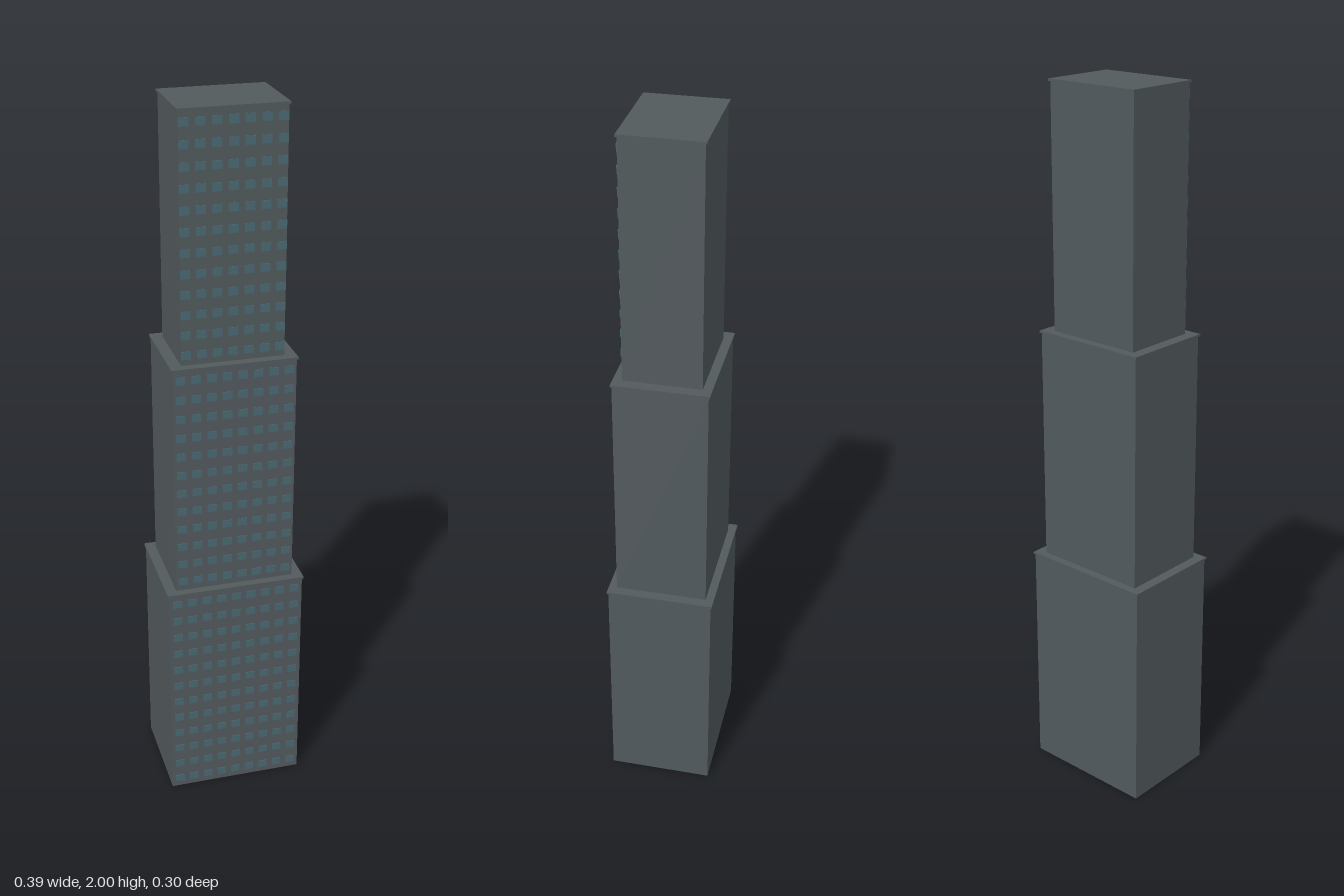
import * as THREE from 'three';
import { mergeGeometries } from 'three/addons/utils/BufferGeometryUtils.js';

const wall = new THREE.MeshStandardMaterial({ color: 0x525a5d });
const glass = new THREE.MeshStandardMaterial({ color: 0x4a6872 });

const TIER = 2 / 3;    // height of each tier
const CAP = 0.006;     // thickness of the roof slab
const ROWS = 12;
const PITCH = 0.0423;  // spacing of window columns

function box(name, w, h, d, y, material) {
  const mesh = new THREE.Mesh(new THREE.BoxGeometry(w, h, d), material);
  mesh.name = name;
  mesh.position.y = y + h / 2;
  return mesh;
}

// Regular grid of slightly raised panes on the front wall
function windowGrid(columns, frontZ) {
  const panes = [];
  const rowPitch = (TIER - CAP) / ROWS;
  for (let r = 0; r < ROWS; r++) {
    for (let c = 0; c < columns; c++) {
      const pane = new THREE.BoxGeometry(0.026, 0.022, 0.004);
      pane.translate((c - (columns - 1) / 2) * PITCH, (r + 0.5) * rowPitch, frontZ);
      panes.push(pane);
    }
  }
  const mesh = new THREE.Mesh(mergeGeometries(panes), glass);
  mesh.name = 'frontWindows';
  return mesh;
}

export function createModel() {
  const tower = new THREE.Group();
  tower.name = 'steppedTower';

  // Three tiers, each set back from the one below
  const tiers = [
    { name: 'lowerTier', w: 0.386, d: 0.294, columns: 9 },
    { name: 'middleTier', w: 0.336, d: 0.256, columns: 8 },
    { name: 'upperTier', w: 0.28, d: 0.213, columns: 7 },
  ];
  tiers.forEach(({ name, w, d, columns }, i) => {
    const tier = new THREE.Group();
    tier.name = name;
    tier.position.y = i * TIER;
    tier.add(box('walls', w, TIER - CAP, d, 0, wall));
    tier.add(box('roofSlab', w + 0.008, CAP, d + 0.008, TIER - CAP, wall));
    tier.add(windowGrid(columns, d / 2));
    tower.add(tier);
  });
  return tower;
}
